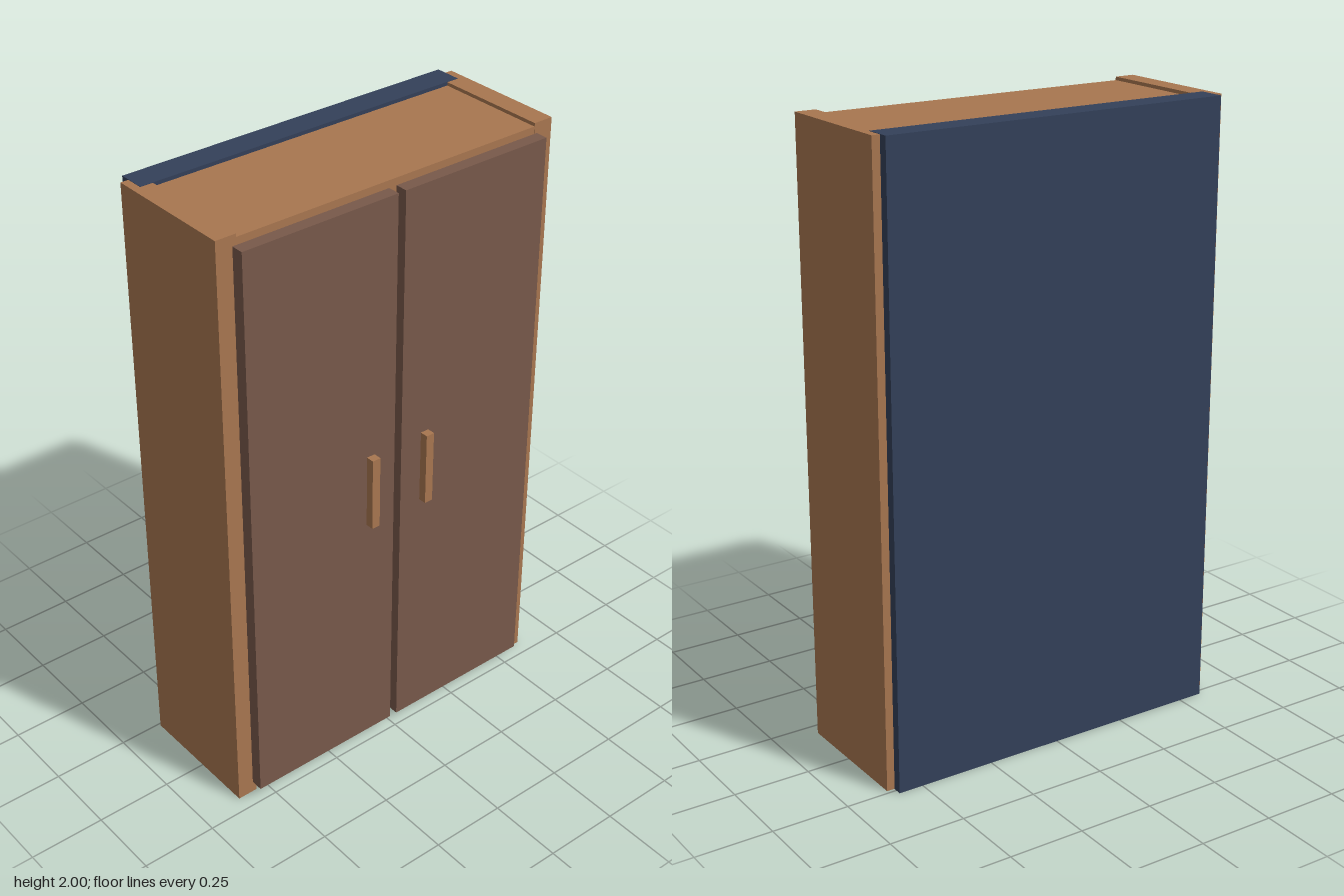
import * as THREE from 'three';

const material = (name, color) => {
  const m = new THREE.MeshStandardMaterial({ color });
  m.name = name;
  return m;
};

export function createModel() {
  const wood = material('light wood', 0xa87650);
  const darkWood = material('dark wood', 0x78594a);
  const navy = material('navy panel', 0x334059);
  const group = new THREE.Group();
  group.name = 'wardrobe';

  // Box given by its extents on each axis
  const box = (name, mat, [x0, x1], [y0, y1], [z0, z1]) => {
    const mesh = new THREE.Mesh(new THREE.BoxGeometry(x1 - x0, y1 - y0, z1 - z0), mat);
    mesh.position.set((x0 + x1) / 2, (y0 + y1) / 2, (z0 + z1) / 2);
    mesh.name = name;
    group.add(mesh);
  };

  // Side boards, a hair shorter than the back panel that overlaps them
  box('leftSide', wood, [0.54, 0.608], [0.001, 1.999], [-0.24, 0.2]);
  box('rightSide', wood, [-0.608, -0.54], [0.001, 1.999], [-0.24, 0.2]);

  // Back panel
  box('backPanel', navy, [-0.582, 0.582], [0, 2], [-0.27, -0.182]);

  // Horizontal boards
  const boards = { bottomBoard: [0.048, 0.1], shelf: [0.795, 0.845], topBoard: [1.938, 1.988] };
  for (const [name, y] of Object.entries(boards)) {
    box(name, wood, [-0.54, 0.54], y, [-0.182, 0.199]);
  }

  // Doors and their handles
  box('rightDoor', darkWood, [-0.553, -0.015], [0.04, 1.965], [0.2, 0.241]);
  box('leftDoor', darkWood, [0.012, 0.55], [0.04, 1.965], [0.2, 0.241]);
  box('rightHandle', wood, [-0.122, -0.093], [0.88, 1.128], [0.241, 0.268]);
  box('leftHandle', wood, [0.09, 0.119], [0.88, 1.128], [0.241, 0.268]);

  return group;
}
